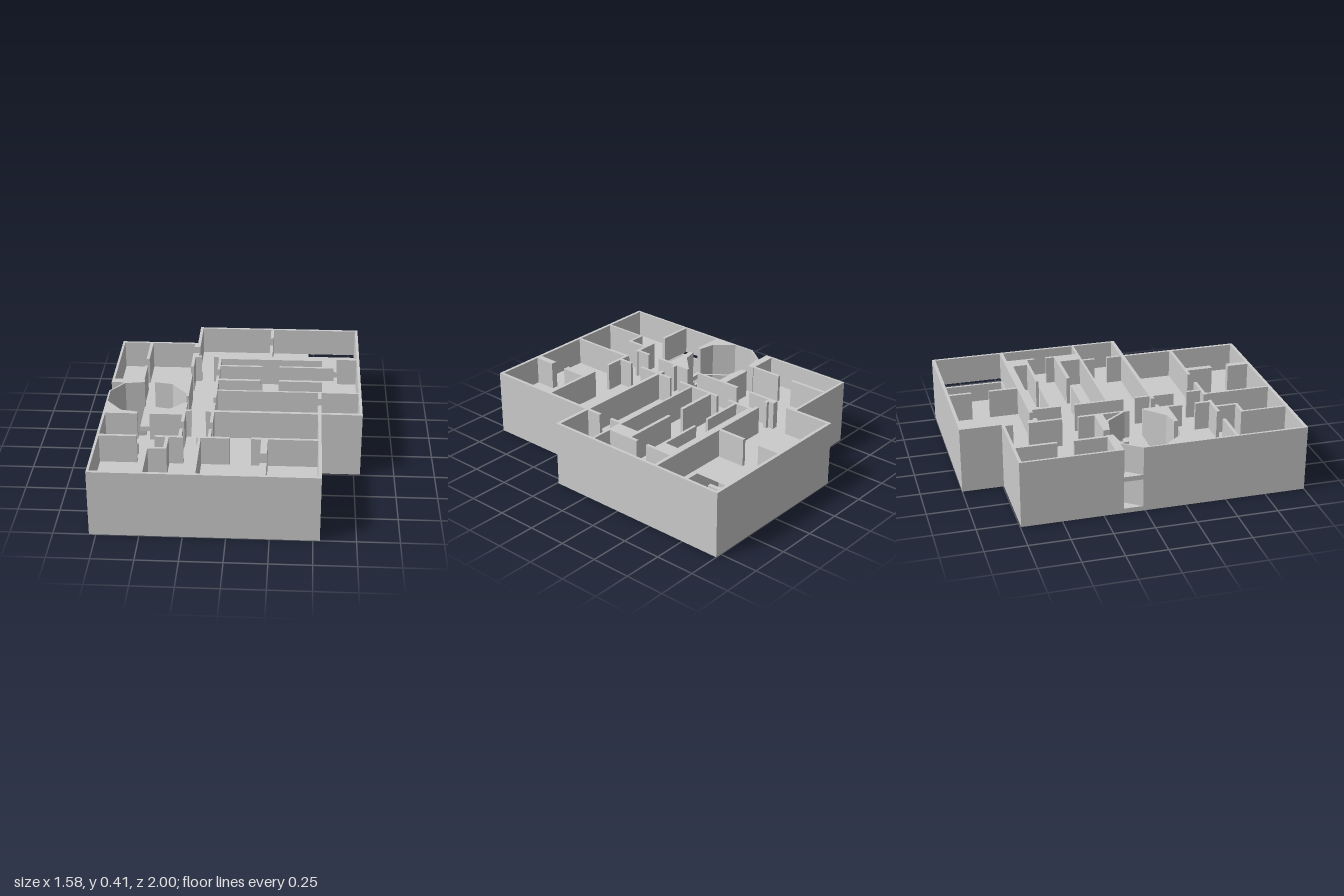
import * as THREE from 'three';

const mat = new THREE.MeshStandardMaterial({ color: 0xcccccc, flatShading: true });
const SLAB = 0.03, STOREY = 0.2075;

// Plan polygons are [x, z] pairs, extruded upward from y
function path(points, Type) {
  return new Type(points.map(([x, z]) => new THREE.Vector2(x, -z)));
}
function prism(name, points, holes, y, height) {
  const shape = path(points, THREE.Shape);
  shape.holes = holes.map((h) => path(h, THREE.Path));
  const geo = new THREE.ExtrudeGeometry(shape, { depth: height, bevelEnabled: false });
  geo.rotateX(-Math.PI / 2).translate(0, y, 0);
  const mesh = new THREE.Mesh(geo, mat);
  mesh.name = name;
  return mesh;
}
// Box from plan corners
function block(name, [x0, z0, x1, z1], y, height) {
  const mesh = new THREE.Mesh(new THREE.BoxGeometry(x1 - x0, height, z1 - z0), mat);
  mesh.position.set((x0 + x1) / 2, y + height / 2, (z0 + z1) / 2);
  mesh.name = name;
  return mesh;
}
const rect = (x0, z0, x1, z1) => [[x0, z0], [x1, z0], [x1, z1], [x0, z1]];

const outline = [[-0.79, -0.745], [-0.285, -0.745], [-0.285, -1], [0.79, -1],
  [0.79, 0.24], [0.54, 0.24], [0.54, 1], [-0.79, 1]];

// Each wall: x0, z0, x1, z1
const outerWalls = [
  [-0.79, -0.745, -0.285, -0.728], [-0.285, -1, -0.265, -0.68], [-0.265, -1, 0.79, -0.98],
  [0.772, -0.98, 0.79, 0.24], [-0.165, 0.217, 0.79, 0.24], [0.52, 0.24, 0.54, 1],
  [-0.79, 0.98, 0.52, 1], [-0.79, 0.285, -0.775, 0.98], [-0.79, -0.728, -0.775, -0.18],
];
const westWalls = [
  [-0.605, -0.728, -0.585, -0.48], [-0.605, -0.38, -0.585, -0.18],
  [-0.305, -0.728, -0.285, -0.68], [-0.305, -0.585, -0.265, -0.548],
  [-0.305, -0.548, -0.245, -0.525], [-0.305, -0.525, -0.285, -0.38],
  [-0.305, -0.28, -0.285, -0.18], [-0.285, 0.215, -0.255, 0.235],
  [-0.305, 0.285, -0.285, 0.375], [-0.305, 0.46, -0.285, 0.55],
];
const southWalls = [
  [-0.775, 0.55, -0.55, 0.57], [-0.445, 0.55, -0.275, 0.57], [-0.195, 0.55, 0, 0.57],
  [0.125, 0.55, 0.52, 0.57], [-0.38, 0.57, -0.36, 0.71], [-0.485, 0.692, -0.38, 0.71],
  [-0.485, 0.71, -0.47, 0.98], [-0.187, 0.57, -0.17, 0.98],
  [0.185, 0.57, 0.225, 0.735], [0.185, 0.845, 0.225, 0.98],
];
const eastWalls = [
  [0.2, -0.98, 0.22, -0.84], [0.2, -0.73, 0.22, -0.55], [-0.165, -0.55, 0.772, -0.528],
  [-0.13, -0.528, 0.545, -0.505], [-0.13, -0.505, -0.112, -0.345], [-0.13, -0.26, -0.112, -0.215],
  [-0.112, -0.415, 0.16, -0.397], [0.27, -0.415, 0.62, -0.397], [0.545, -0.528, 0.62, -0.415],
  [0.62, -0.528, 0.64, -0.345], [0.62, -0.27, 0.64, -0.06], [-0.13, -0.215, 0.155, -0.193],
  [0.27, -0.215, 0.62, -0.193], [-0.13, -0.193, -0.112, 0.05], [0.545, -0.193, 0.62, -0.06],
  [-0.112, -0.06, 0.772, -0.045], [0.52, -0.045, 0.54, 0.035], [0.52, 0.12, 0.54, 0.217],
  [-0.13, 0.125, -0.112, 0.375], [-0.13, 0.46, -0.112, 0.55],
];

// Thick masonry around the faceted hall, split by its three doorways
const hallWest = [[-0.79, -0.18], [-0.58, -0.18], [-0.58, -0.14], [-0.7, -0.12], [-0.78, -0.01],
  [-0.78, 0.125], [-0.685, 0.24], [-0.58, 0.26], [-0.58, 0.285], [-0.79, 0.285],
  [-0.79, -0.013], [-0.705, -0.13], [-0.79, -0.13]];
const hallEast = [[-0.515, -0.18], [-0.285, -0.18], [-0.285, 0.04], [-0.3, 0.04], [-0.3, 0.01],
  [-0.4, -0.12], [-0.515, -0.142]];
const hallNook = [[-0.387, -0.128], [-0.302, -0.128], [-0.302, -0.015]];
const hallSouth = [[-0.3, 0.125], [-0.285, 0.125], [-0.285, 0.285], [-0.505, 0.285],
  [-0.505, 0.26], [-0.415, 0.24]];

// Upper floor openings: two stairwells and the hall on both sides of its walkway
const openings = [
  rect(0.46, -0.979, 0.771, -0.551),
  rect(-0.774, 0.286, -0.502, 0.549),
  [[-0.585, -0.139], [-0.7, -0.12], [-0.78, -0.01], [-0.78, 0.125], [-0.685, 0.24],
    [-0.58, 0.26], [-0.505, 0.26], [-0.415, 0.24], [-0.3, 0.125], [-0.585, 0.125]],
  [[-0.505, -0.14], [-0.4, -0.12], [-0.3, 0.01], [-0.3, 0.04], [-0.505, 0.04]],
];

function storey(name, y) {
  const group = new THREE.Group();
  group.name = name;
  const h = STOREY - SLAB, base = y + SLAB;
  const sets = { outerWall: outerWalls, westWall: westWalls, southWall: southWalls, eastWall: eastWalls };
  for (const [label, walls] of Object.entries(sets)) {
    walls.forEach((w) => group.add(block(label, w, base, h)));
  }
  group.add(prism('hallWestWall', hallWest, [], base, h));
  group.add(prism('hallEastWall', hallEast, [hallNook], base, h));
  group.add(prism('hallSouthWall', hallSouth, [], base, h));
  group.add(prism('floor', outline, y > 0 ? openings : [], y, SLAB));
  return group;
}

// Steps descend from the upper floor edge at x, in direction dir
function stairs(name, x, dir, z0, z1, run, count) {
  const group = new THREE.Group();
  group.name = name;
  const tread = run / count, rise = STOREY / (count + 1);
  for (let i = 0; i < count; i++) {
    const a = x + dir * i * tread, b = a + dir * tread;
    group.add(block('step', [Math.min(a, b), z0, Math.max(a, b), z1], SLAB, STOREY - rise * (i + 1)));
  }
  return group;
}

export function createModel() {
  const model = new THREE.Group();
  model.name = 'twoStoreyBuilding';
  model.add(storey('lowerStorey', 0), storey('upperStorey', STOREY));
  model.add(stairs('eastStairs', 0.46, 1, -0.84, -0.685, 0.152, 6));
  model.add(stairs('westStairs', -0.502, -1, 0.337, 0.49, 0.19, 7));
  return model;
}
